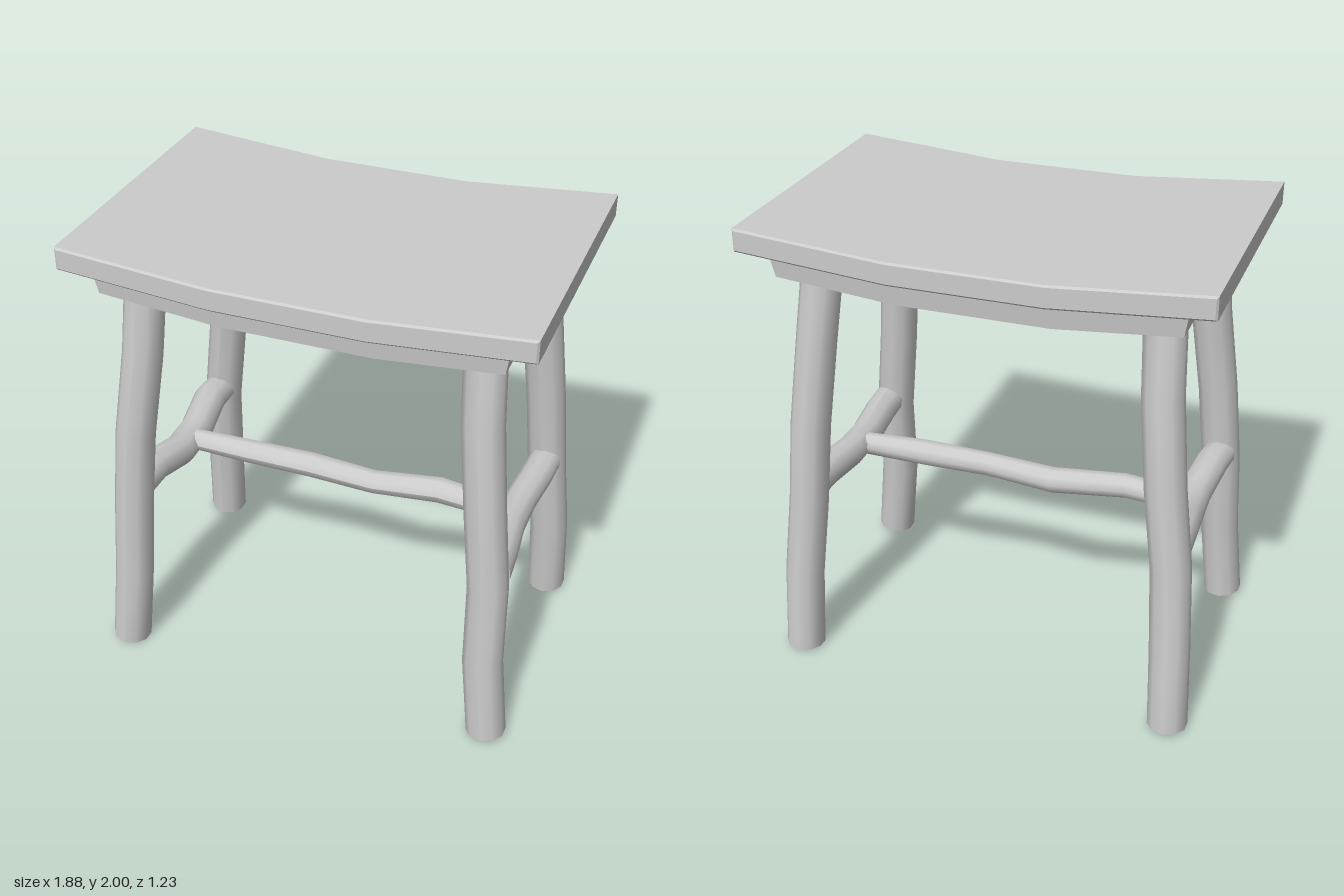
import * as THREE from 'three';

const material = new THREE.MeshStandardMaterial({ color: 0xcccccc });

function addMesh(parent, name, geometry) {
  const mesh = new THREE.Mesh(geometry, material);
  mesh.name = name;
  parent.add(mesh);
  return mesh;
}

// Branch-like limb: a cylinder whose rings follow a list of [x, y, z, radius] stations
function limb(stations, sides) {
  const n = stations.length - 1;
  const centres = stations.map(([x, y, z]) => new THREE.Vector3(x, y, z));
  const up = new THREE.Vector3(0, 1, 0);
  const turns = centres.map((c, i) => {
    const tangent = centres[Math.min(i + 1, n)].clone().sub(centres[Math.max(i - 1, 0)]).normalize();
    return new THREE.Quaternion().setFromUnitVectors(up, tangent);
  });
  const geometry = new THREE.CylinderGeometry(1, 1, 1, sides, n);
  const pos = geometry.attributes.position;
  const v = new THREE.Vector3();
  for (let i = 0; i < pos.count; i++) {
    v.fromBufferAttribute(pos, i);
    const k = Math.round((v.y + 0.5) * n);
    v.y = 0;
    v.multiplyScalar(stations[k][3]).applyQuaternion(turns[k]).add(centres[k]);
    pos.setXYZ(i, v.x, v.y, v.z);
  }
  geometry.computeVertexNormals();
  return geometry;
}

// Dished board: symmetric profile in x-y, extruded along z
function board(right, depth, bevel) {
  const left = right.map(([x, y]) => [-x, y]).reverse();
  const shape = new THREE.Shape([...right, ...left].map(([x, y]) => new THREE.Vector2(x, y)));
  const geometry = new THREE.ExtrudeGeometry(shape, {
    depth: depth - 2 * bevel, bevelEnabled: bevel > 0, bevelThickness: bevel,
    bevelSize: bevel, bevelOffset: -bevel, bevelSegments: 1,
  });
  return geometry.translate(0, 0, -depth / 2 + bevel);
}

export function createModel() {
  const model = new THREE.Group();
  model.name = 'stool';

  // Seat and the tapered block beneath it
  addMesh(model, 'seat', board([[0.31, 1.855], [0.94, 1.905], [0.94, 2], [0.31, 1.95]], 1.225, 0.008));
  const apron = board([[0.31, 1.742], [0.81, 1.79], [0.83, 1.905], [0.31, 1.865]], 2, 0);
  const pos = apron.attributes.position;
  for (let i = 0; i < pos.count; i++) {
    pos.setZ(i, pos.getZ(i) * (0.53 + 0.12 * (pos.getY(i) - 1.77)));
  }
  apron.computeVertexNormals();
  addMesh(model, 'apron', apron);

  // Four crooked, splayed legs: x and z at each height
  const heights = [0.013, 0.38, 0.74, 1.1, 1.47, 1.82];
  const legs = {
    frontLeftLeg: { x: [0.835, 0.795, 0.785, 0.75, 0.71, 0.69], z: [0.515, 0.495, 0.455, 0.445, 0.405, 0.365] },
    frontRightLeg: { x: [-0.84, -0.805, -0.795, -0.76, -0.72, -0.695], z: [0.515, 0.5, 0.46, 0.45, 0.4, 0.365] },
    backLeftLeg: { x: [0.83, 0.82, 0.79, 0.76, 0.73, 0.69], z: [-0.51, -0.485, -0.45, -0.44, -0.39, -0.36] },
    backRightLeg: { x: [-0.835, -0.82, -0.795, -0.755, -0.715, -0.7], z: [-0.515, -0.49, -0.445, -0.445, -0.395, -0.36] },
  };
  for (const [name, { x, z }] of Object.entries(legs)) {
    addMesh(model, name, limb(heights.map((y, i) => [x[i], y, z[i], 0.084]), 10));
  }

  // Side stretchers between front and back legs
  addMesh(model, 'leftStretcher', limb([
    [0.795, 0.785, 0.42, 0.07], [0.785, 0.785, 0.28, 0.07], [0.765, 0.775, 0.09, 0.068],
    [0.765, 0.775, -0.09, 0.068], [0.785, 0.785, -0.28, 0.07], [0.79, 0.785, -0.42, 0.07],
  ], 10));
  addMesh(model, 'rightStretcher', limb([
    [-0.795, 0.79, 0.42, 0.07], [-0.785, 0.805, 0.28, 0.072], [-0.76, 0.765, 0.09, 0.072],
    [-0.765, 0.762, -0.09, 0.074], [-0.785, 0.808, -0.28, 0.074], [-0.79, 0.79, -0.42, 0.07],
  ], 10));

  // Long stretcher joining the two side ones
  addMesh(model, 'middleStretcher', limb([
    [-0.77, 0.775, 0, 0.046], [-0.48, 0.787, 0.015, 0.054], [-0.16, 0.768, -0.015, 0.057],
    [0.14, 0.773, 0.01, 0.053], [0.43, 0.79, -0.015, 0.058], [0.77, 0.772, 0, 0.048],
  ], 10));

  return model;
}
